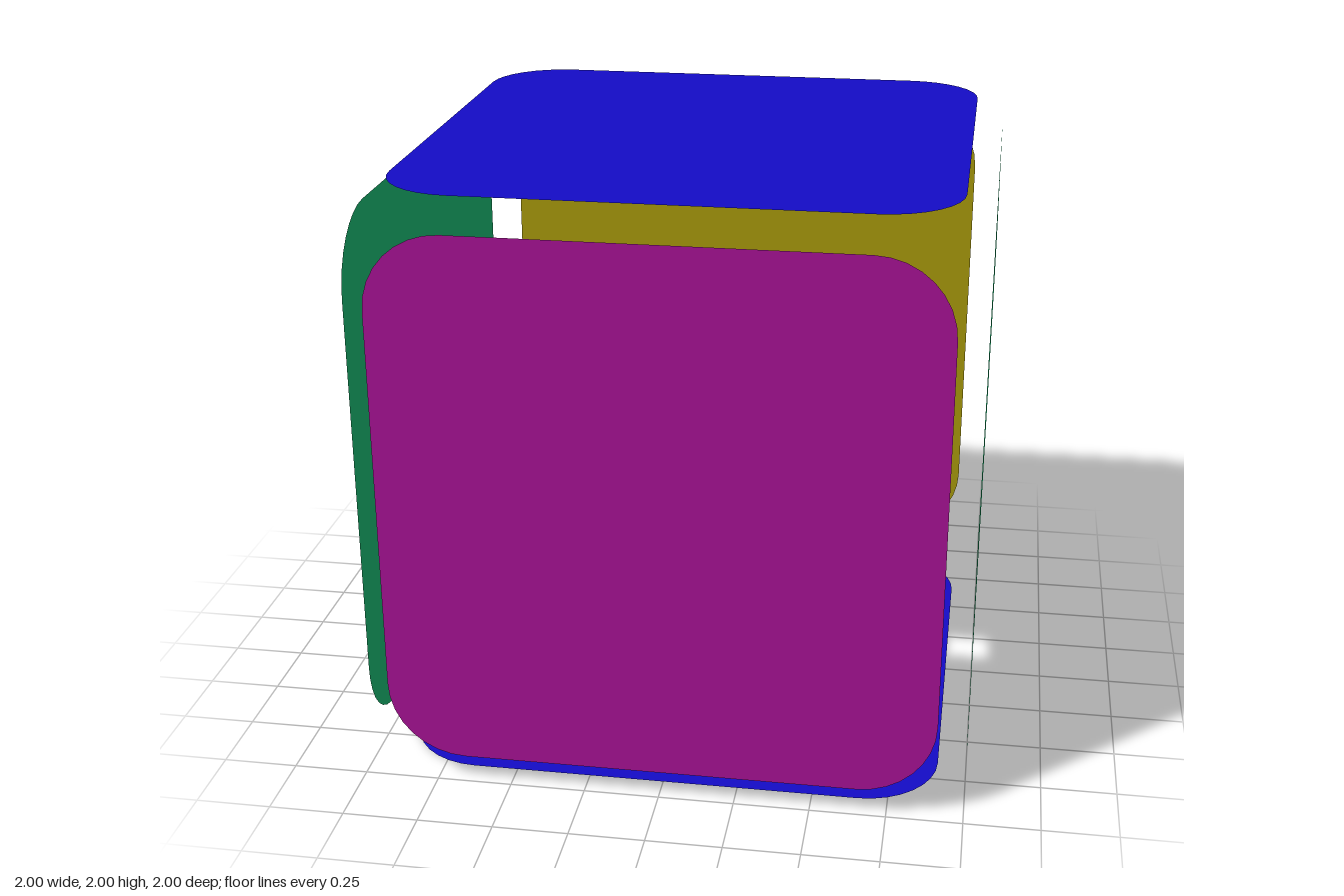
import * as THREE from 'three';

const HALF = 0.905;   // half width of a panel
const RADIUS = 0.255; // corner radius of a panel

// Flat square outline with rounded corners
function panelShape() {
  const shape = new THREE.Shape();
  const c = HALF - RADIUS;
  const corners = [[c, c], [-c, c], [-c, -c], [c, -c]];
  corners.forEach(([x, y], i) =>
    shape.absarc(x, y, RADIUS, i * Math.PI / 2, (i + 1) * Math.PI / 2, false));
  shape.closePath();
  return shape;
}

export function createModel() {
  const group = new THREE.Group();
  const panelGeometry = new THREE.ShapeGeometry(panelShape(), 4);
  const q = Math.PI / 2;

  const paint = (color) => new THREE.MeshStandardMaterial({ color, side: THREE.DoubleSide });
  const magenta = paint(0xa81296);
  const yellow = paint(0xa89a0c);
  const green = paint(0x1ecb7c);
  const blue = paint(0x150cc8);

  // Six separate panels, one unit out from the centre
  const panels = [
    ['frontPanel', magenta, 0, 0],
    ['backPanel', yellow, 0, 2 * q],
    ['leftPanel', green, 0, q],
    ['rightPanel', green, 0, -q],
    ['topPanel', blue, -q, 0],
    ['bottomPanel', blue, q, 0],
  ];
  for (const [name, material, rx, ry] of panels) {
    const panel = new THREE.Mesh(panelGeometry, material);
    panel.name = name;
    panel.rotation.set(rx, ry, 0);
    panel.position.set(0, 0, 1).applyEuler(panel.rotation);
    panel.position.y += 1;
    group.add(panel);
  }

  // Five-sided faceted core floating in the middle, one corner to the back
  const core = new THREE.Mesh(
    new THREE.SphereGeometry(0.428, 5, 3, -q),
    new THREE.MeshStandardMaterial({ color: 0xcccccc, flatShading: true }));
  core.name = 'core';
  core.position.y = 1;
  group.add(core);

  return group;
}
